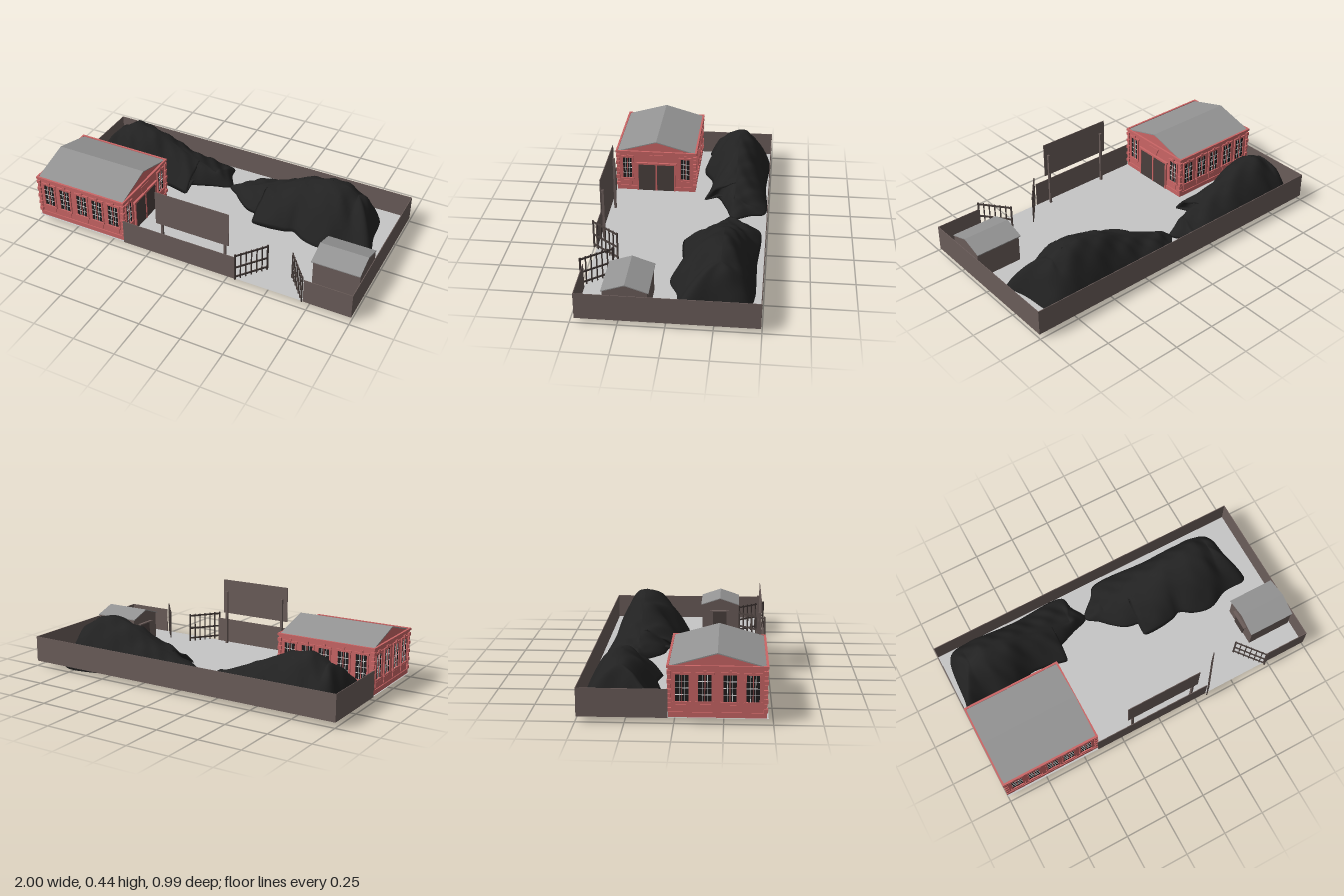
import * as THREE from 'three';

const mat = (name, color, double) => {
  const m = new THREE.MeshStandardMaterial({ color });
  m.name = name;
  if (double) m.side = THREE.DoubleSide;
  return m;
};

export function createModel() {
  const root = new THREE.Group();
  root.name = 'walledYard';
  const brown = mat('wall brown', 0x6b5d5a);
  const darkBrown = mat('gate dark brown', 0x4a403d);
  const red = mat('brick red', 0xcb6666);
  const grey = mat('roof grey', 0x949494);
  const paving = mat('paving grey', 0xc6c6c6, true);
  const coal = mat('heap black', 0x222222, true);
  const glass = mat('window dark', 0x1e1c1d);
  const white = mat('glazing bar white', 0xdcdcdc);

  const group = (name, parent = root) => {
    const g = new THREE.Group();
    g.name = name;
    parent.add(g);
    return g;
  };
  const add = (parent, name, geo, m) => {
    const mesh = new THREE.Mesh(geo, m);
    mesh.name = name;
    parent.add(mesh);
    return mesh;
  };
  // Box given by its limits on each axis
  const box = (parent, name, m, x0, x1, y0, y1, z0, z1) => {
    const b = add(parent, name, new THREE.BoxGeometry(x1 - x0, y1 - y0, z1 - z0), m);
    b.position.set((x0 + x1) / 2, (y0 + y1) / 2, (z0 + z1) / 2);
    return b;
  };
  // Prism with a [z, y] outline running along x
  const prism = (parent, name, m, pts, x0, x1) => {
    const shape = new THREE.Shape(pts.map(p => new THREE.Vector2(p[0], p[1])));
    const geo = new THREE.ExtrudeGeometry(shape, { depth: x1 - x0, bevelEnabled: false });
    geo.rotateY(-Math.PI / 2).translate(x1, 0, 0);
    return add(parent, name, geo, m);
  };
  const roof = (parent, z0, z1, eave, ridge, t, x0, x1) => {
    const c = (z0 + z1) / 2;
    prism(parent, 'roof', grey, [[z0, eave - t], [c, ridge - t], [z1, eave - t],
      [z1, eave], [c, ridge], [z0, eave]], x0, x1);
  };

  // Ground and boundary walls
  const G = 0.038, F = 0.475;
  const ground = add(root, 'ground', new THREE.PlaneGeometry(2, F + 0.495).rotateX(-Math.PI / 2), paving);
  ground.position.set(0, G, (F - 0.495) / 2);
  const walls = group('boundaryWalls');
  const W = 0.187, T = 0.004;
  box(walls, 'backWall', brown, -1, 1, 0.035, W, -0.495, -0.495 + T);
  box(walls, 'leftWall', brown, 1 - T, 1, 0.035, W, -0.495, F);
  box(walls, 'rightWall', brown, -1, -1 + T, 0.035, W, -0.495, -0.03);
  box(walls, 'frontWallLong', brown, -0.41, 0.315, 0.035, W, F - T, F);
  box(walls, 'frontWallShort', brown, 0.72, 1, 0.035, W, F - T, F);

  // Open gate leaves, mirrored about the gateway centre
  for (const s of [-1, 1]) {
    const leaf = group(s < 0 ? 'gateLeafRight' : 'gateLeafLeft');
    const L = 0.2, n = 6;
    for (let i = 0; i <= n; i++) {
      const x = (i / n) * L, r = i % n ? 0.003 : 0.005;
      box(leaf, 'gateBar', darkBrown, x - r, x + r, 0.045, 0.222, -0.003, 0.003);
    }
    for (const y of [0.065, 0.13, 0.212])
      box(leaf, 'gateRail', darkBrown, 0, L, y - 0.005, y + 0.005, -0.003, 0.003);
    leaf.position.set(0.517 + s * 0.2, 0, 0.488);
    leaf.rotation.y = s < 0 ? 0.9 : Math.PI - 0.9;
  }

  // Billboard on two posts
  const board = group('billboard');
  box(board, 'panel', brown, -0.2, 0.26, 0.235, 0.45, 0.449, 0.453);
  for (const x of [-0.165, 0.232])
    box(board, 'post', brown, x - 0.006, x + 0.006, G, 0.375, 0.435, 0.449);

  // Small shed
  const shed = group('shed');
  prism(shed, 'shedBody', brown, [[0.09, 0.034], [0.325, 0.034], [0.325, 0.2],
    [0.2075, 0.24], [0.09, 0.2]], 0.71, 0.984);
  roof(shed, 0.083, 0.332, 0.203, 0.245, 0.005, 0.7, 0.985);
  box(shed, 'shedDoor', darkBrown, 0.704, 0.71, G, 0.15, 0.16, 0.25);
  box(shed, 'shedCanopy', brown, 0.692, 0.712, 0.155, 0.162, 0.14, 0.265);

  // Brick hall
  const hall = group('hall');
  const X0 = -0.988, X1 = -0.415, Z0 = -0.025, Z1 = 0.46, ZC = 0.2175;
  prism(hall, 'hallBody', red, [[Z0, 0.036], [Z1, 0.036], [Z1, 0.304], [ZC, 0.37], [Z0, 0.304]], X0, X1);
  roof(hall, -0.025, 0.46, 0.306, 0.375, 0.006, -0.99, -0.414);
  const band = (name, y0, y1, o) => {
    box(hall, name, red, X0 - o, X1 + o, y0, y1, Z1, Z1 + o);
    box(hall, name, red, X0 - o, X1 + o, y0, y1, Z0 - o, Z0);
    box(hall, name, red, X0 - o, X0, y0, y1, Z0, Z1);
    box(hall, name, red, X1, X1 + o, y0, y1, Z0, Z1);
  };
  band('plinth', G, 0.065, 0.005);
  band('cornice', 0.297, 0.31, 0.012);
  band('corniceStep', 0.287, 0.297, 0.006);
  // Corner quoins
  for (const x of [X0, X1]) for (const z of [Z0, Z1])
    for (let i = 0; i < 9; i++) {
      const r = i % 2 ? 0.008 : 0.011, y = 0.068 + i * 0.0245;
      box(hall, 'quoin', red, x - r, x + r, y, y + 0.02, z - r, z + r);
    }

  // Window facing +z, with glazing bars, frame, sill, keystone and panel
  const windowAt = (x, z, turn, w = 0.076) => {
    const g = group('window', hall), h = w / 2, a = 0.122, b = 0.262;
    box(g, 'pane', glass, -h, h, a, b, 0, 0.003);
    for (const u of [-h / 3, h / 3])
      box(g, 'glazingBar', white, u - 0.0015, u + 0.0015, a, b, 0.003, 0.005);
    for (const y of [0.157, 0.192, 0.227])
      box(g, 'glazingBar', white, -h, h, y - 0.0015, y + 0.0015, 0.003, 0.005);
    for (const s of [-1, 1])
      box(g, 'jamb', red, s * h - 0.005, s * h + 0.005, a, b, 0, 0.008);
    box(g, 'centreMullion', red, -0.002, 0.002, a, b, 0.003, 0.007);
    box(g, 'sill', red, -h - 0.008, h + 0.008, a - 0.01, a, 0, 0.011);
    box(g, 'lintel', red, -h - 0.008, h + 0.008, b, b + 0.012, 0, 0.008);
    box(g, 'keystone', red, -0.008, 0.008, b, b + 0.025, 0, 0.01);
    box(g, 'lowerPanel', red, -h + 0.006, h - 0.006, 0.075, 0.105, 0, 0.004);
    g.position.set(x, 0, z);
    g.rotation.y = turn;
  };
  for (const x of [-0.92, -0.812, -0.694, -0.59, -0.48]) {
    windowAt(x, Z1, 0);
    windowAt(x, Z0, Math.PI);
  }
  for (const z of [0.04, 0.155, 0.28, 0.395]) windowAt(X0, z, -Math.PI / 2);
  for (const z of [0.035, 0.4]) windowAt(X1, z, Math.PI / 2, 0.065);
  // Entrance on the yard side
  box(hall, 'entranceDoors', darkBrown, X1, X1 + 0.008, G, 0.22, 0.1, 0.335);
  box(hall, 'entranceLintel', red, X1, X1 + 0.013, 0.22, 0.232, 0.088, 0.347);
  for (const z of [0.1, 0.2175, 0.335])
    box(hall, 'entranceJamb', red, X1, X1 + 0.011, G, 0.22, z - 0.005, z + 0.005);
  prism(hall, 'entranceKeystone', red, [[0.195, 0.235], [0.24, 0.235], [0.26, 0.283], [0.175, 0.283]], X1, X1 + 0.006);

  // Coal heap: rings shrinking from an outline to a ridge, with a folded-in base
  const ramp = (pts, x) => {
    let i = 0;
    while (i < pts.length - 2 && x > pts[i + 1][0]) i++;
    const [a, b] = [pts[i], pts[i + 1]];
    return THREE.MathUtils.lerp(a[1], b[1], THREE.MathUtils.clamp((x - a[0]) / (b[0] - a[0]), 0, 1));
  };
  const heap = (name, outline, ridge, ridgeZ, base) => {
    const curve = new THREE.CatmullRomCurve3(outline.map(p => new THREE.Vector3(p[0], 0, p[1])), true, 'centripetal');
    const N = 120, under = 5, rows = 18, pos = [], idx = [];
    const rim = curve.getSpacedPoints(N).slice(0, N);
    const [r0, r1] = [ridge[0][0], ridge[ridge.length - 1][0]];
    for (let k = -under; k <= rows; k++) for (const p of rim) {
      const t = k < 0 ? (-k / under) * 0.6 : k / rows;
      const x = THREE.MathUtils.lerp(p.x, THREE.MathUtils.clamp(p.x, r0, r1), t);
      const z = THREE.MathUtils.lerp(p.z, ridgeZ, t);
      const b = base(p.x);
      let y = b + t * 0.06;
      if (k >= 0) {
        const fold = Math.sin(x * 31 + Math.sin(z * 19) * 2) * 0.6 + Math.sin(x * 57 - z * 43) * 0.4;
        y = b + (ramp(ridge, x) - b) * Math.pow(Math.sin(t * Math.PI / 2), 0.85) + fold * 0.055 * t * (1 - t);
      }
      pos.push(x, y, z);
    }
    for (let k = 0; k < under + rows; k++) for (let i = 0; i < N; i++) {
      const j = (i + 1) % N, a = k * N, b = a + N;
      idx.push(a + i, b + i, a + j, a + j, b + i, b + j);
    }
    const geo = new THREE.BufferGeometry();
    geo.setAttribute('position', new THREE.Float32BufferAttribute(pos, 3));
    geo.setIndex(idx);
    geo.computeVertexNormals();
    add(root, name, geo, coal);
  };
  heap('leftHeap', [[-0.1, -0.29], [0, -0.4], [0.04, -0.455], [0.4, -0.455], [0.8, -0.45], [0.855, -0.4],
    [0.885, -0.2], [0.91, -0.04], [0.75, -0.025], [0.62, 0.025], [0.51, 0], [0.43, -0.05], [0.38, -0.03],
    [0.17, -0.025], [0.22, -0.09], [0.1, -0.12], [0.02, -0.18], [-0.03, -0.23]],
  [[0.02, 0.1], [0.25, 0.19], [0.4, 0.275], [0.57, 0.323], [0.68, 0.31], [0.74, 0.265]], -0.27,
  x => 0.04 - 0.034 * THREE.MathUtils.smoothstep(x, 0.2, 0.85));
  heap('rightHeap', [[-0.09, -0.29], [-0.14, -0.4], [-0.16, -0.475], [-0.5, -0.475], [-0.9, -0.48], [-0.945, -0.43],
    [-0.975, -0.15], [-0.985, -0.09], [-0.83, -0.11], [-0.74, -0.07], [-0.65, -0.08], [-0.55, -0.13],
    [-0.43, -0.12], [-0.31, -0.1], [-0.35, -0.17], [-0.21, -0.24]],
  [[-0.85, 0.27], [-0.76, 0.325], [-0.62, 0.3], [-0.42, 0.21], [-0.2, 0.12]], -0.29,
  () => 0.039);

  return root;
}
